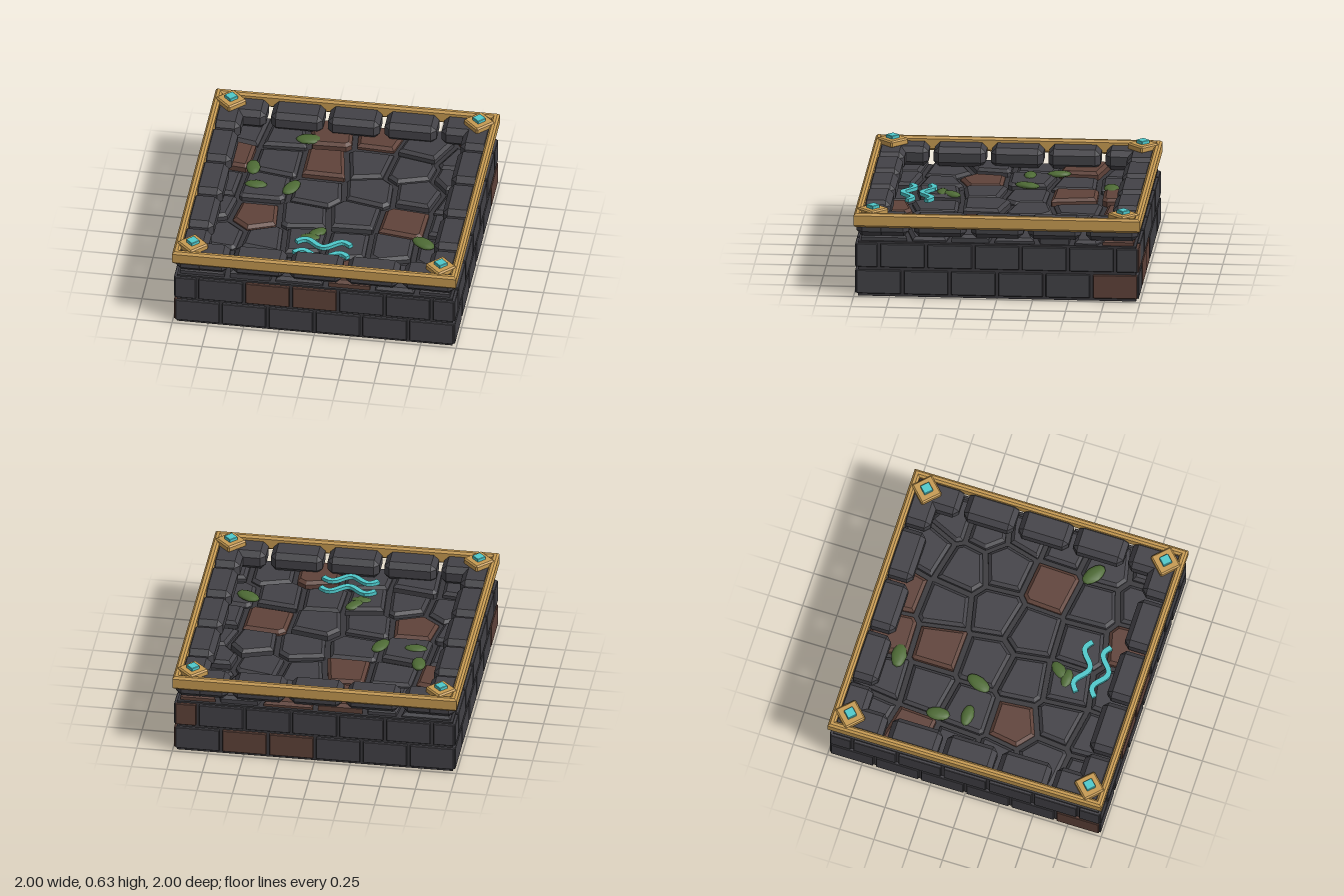
import * as THREE from 'three';
import { ConvexGeometry } from 'three/addons/geometries/ConvexGeometry.js';

const material = (name, color) => {
  const m = new THREE.MeshStandardMaterial({ color });
  m.name = name;
  return m;
};

// Box with all edges chamfered
function chamferBox(w, h, d, b) {
  const points = [];
  for (const sx of [-1, 1]) for (const sy of [-1, 1]) for (const sz of [-1, 1]) {
    const x = w / 2, y = h / 2, z = d / 2;
    points.push(
      new THREE.Vector3(sx * x, sy * (y - b), sz * (z - b)),
      new THREE.Vector3(sx * (x - b), sy * y, sz * (z - b)),
      new THREE.Vector3(sx * (x - b), sy * (y - b), sz * z));
  }
  return new ConvexGeometry(points);
}

// Keep the part of a polygon where nx*x + nz*z <= limit
function clip(poly, nx, nz, limit) {
  const out = [];
  poly.forEach((a, i) => {
    const b = poly[(i + 1) % poly.length];
    const da = nx * a[0] + nz * a[1] - limit, db = nx * b[0] + nz * b[1] - limit;
    if (da <= 0) out.push(a);
    if (da * db < 0) {
      const t = da / (da - db);
      out.push([a[0] + (b[0] - a[0]) * t, a[1] + (b[1] - a[1]) * t]);
    }
  });
  return out;
}

// Area nearest to one paving centre, shrunk by a gap
function pavingCell(centres, i, gap) {
  const e = 0.97 - gap, [x, z] = centres[i];
  let poly = [[-e, -e], [e, -e], [e, e], [-e, e]];
  centres.forEach(([ox, oz], j) => {
    if (j === i) return;
    const dx = ox - x, dz = oz - z, len = Math.hypot(dx, dz);
    const nx = dx / len, nz = dz / len;
    poly = clip(poly, nx, nz, nx * (x + ox) / 2 + nz * (z + oz) / 2 - gap);
  });
  return poly;
}

// Paving centres in rows from back to front; a third value marks a clay stone
const PAVING = [
  [-0.74, -0.78], [-0.48, -0.75], [-0.15, -0.82, 1], [0.17, -0.85, 1], [0.53, -0.76], [0.8, -0.64], [0.92, -0.88, 1],
  [-0.81, -0.47, 1], [-0.47, -0.45], [-0.14, -0.45, 1], [0.15, -0.5], [0.46, -0.46], [0.8, -0.4],
  [-0.85, -0.14], [-0.53, -0.12], [-0.15, -0.12], [0.22, -0.17], [0.55, -0.19], [0.86, -0.11],
  [-0.85, 0.17], [-0.53, 0.22, 1], [-0.2, 0.19], [0.15, 0.14], [0.51, 0.16, 1], [0.84, 0.17],
  [-0.74, 0.47], [-0.42, 0.5], [-0.16, 0.48], [0.16, 0.49], [0.46, 0.48], [0.8, 0.47],
  [-0.78, 0.8], [-0.47, 0.79], [-0.1, 0.82], [0.24, 0.81, 1], [0.56, 0.8], [0.87, 0.8],
];

export function createModel() {
  const model = new THREE.Group();
  model.name = 'stoneFloorTile';
  const stone = material('dark stone', 0x434247);
  const mortar = material('mortar', 0x39383c);
  const clay = material('clay brick', 0x60433a);
  const gold = material('gold', 0xc79b52);
  const glow = material('turquoise', 0x4fc9cb);
  const moss = material('moss', 0x4e6b35);

  const add = (name, geometry, mat, x = 0, y = 0, z = 0, parent = model) => {
    const mesh = new THREE.Mesh(geometry, mat);
    mesh.name = name;
    mesh.position.set(x, y, z);
    parent.add(mesh);
    return mesh;
  };

  // Core behind the bricks and under the paving
  add('core', new THREE.BoxGeometry(1.94, 0.395, 1.94), mortar, 0, 0.1975, 0);

  // Brick walls and rim blocks: front, right, back, left
  const brick = chamferBox(0.308, 0.168, 0.06, 0.004);
  const halfBrick = chamferBox(0.145, 0.168, 0.06, 0.004);
  const rimBlock = chamferBox(0.365, 0.14, 0.205, 0.037);
  const clayLower = [[], [5], [1, 2], [5]];
  const clayUpper = [[2, 3], [], [0], []];
  ['front', 'right', 'back', 'left'].forEach((side, s) => {
    const wall = new THREE.Group();
    wall.name = side + 'Wall';
    wall.rotation.y = s * Math.PI / 2;
    model.add(wall);
    for (let i = 0; i < 6; i++) {
      add('lowerBrick', brick, clayLower[s].includes(i) ? clay : stone, (i - 2.5) * 0.33, 0.106, 0.96, wall);
    }
    for (let i = 0; i < 7; i++) {
      const end = i === 0 || i === 6;
      const x = end ? Math.sign(i - 3) * 0.908 : (i - 3) * 0.33;
      add('upperBrick', end ? halfBrick : brick, clayUpper[s].includes(i) ? clay : stone, x, 0.298, 0.96, wall);
    }
    for (let i = -2; i <= 2; i++) {
      add('rimBlock', rimBlock, stone, i * 0.4, 0.5, 0.877, wall);
    }
  });

  // Uneven paving stones with bevelled tops
  PAVING.forEach(([, , isClay], i) => {
    const top = 0.425 + ((i * 7) % 5) * 0.007;
    const base = pavingCell(PAVING, i, 0.019);
    const cap = pavingCell(PAVING, i, 0.042);
    const points = [];
    base.forEach(([x, z]) => points.push(new THREE.Vector3(x, 0.385, z), new THREE.Vector3(x, top - 0.02, z)));
    cap.forEach(([x, z]) => points.push(new THREE.Vector3(x, top, z)));
    add('pavingStone', new ConvexGeometry(points), isClay ? clay : stone);
  });

  // Gold frame around the top
  const ring = (shape, r) => {
    shape.moveTo(-r, -r).lineTo(r, -r).lineTo(r, r).lineTo(-r, r).closePath();
    return shape;
  };
  const outline = ring(new THREE.Shape(), 0.985);
  outline.holes.push(ring(new THREE.Path(), 0.965));
  const frame = new THREE.ExtrudeGeometry(outline, {
    depth: 0.07, bevelEnabled: true, bevelSize: 0.015, bevelThickness: 0.015, bevelSegments: 1,
  });
  frame.rotateX(-Math.PI / 2);
  add('frame', frame, gold, 0, 0.515, 0);

  // Corner ornaments: gold plate with a turquoise gem
  const plate = chamferBox(0.158, 0.05, 0.158, 0.01);
  const gem = chamferBox(0.068, 0.04, 0.068, 0.003);
  for (const x of [-0.873, 0.873]) for (const z of [-0.873, 0.873]) {
    add('cornerPlate', plate, gold, x, 0.587, z).rotation.y = Math.PI / 4;
    add('cornerGem', gem, glow, x, 0.615, z).rotation.y = Math.PI / 4;
  }

  // Moss clumps: x, z, length, width, turn
  const clump = new THREE.IcosahedronGeometry(0.5, 1);
  [
    [-0.3, -0.7, 0.18, 0.11, 0.1], [-0.63, -0.31, 0.17, 0.1, 1.7], [-0.58, -0.11, 0.16, 0.09, 0],
    [-0.33, -0.11, 0.19, 0.1, 1.2], [-0.07, 0.4, 0.16, 0.09, 0.9], [-0.11, 0.465, 0.15, 0.085, 0],
    [0.68, 0.41, 0.19, 0.11, -0.6],
  ].forEach(([x, z, length, width, turn]) => {
    const mesh = add('mossClump', clump, moss, x, 0.445, z);
    mesh.scale.set(length, 0.045, width);
    mesh.rotation.y = turn;
  });

  // Two wavy lines made of small blocks
  const k = 2 * Math.PI / 0.26;
  const link = new THREE.BoxGeometry(0.034, 0.025, 0.036);
  for (const z of [0.56, 0.695]) for (let i = 0; i <= 16; i++) {
    const x = -0.18 + i * 0.0225;
    const mesh = add('waveLink', link, glow, x, 0.47, z + 0.038 * Math.cos(k * x));
    mesh.rotation.y = Math.atan(0.038 * k * Math.sin(k * x));
  }

  return model;
}
